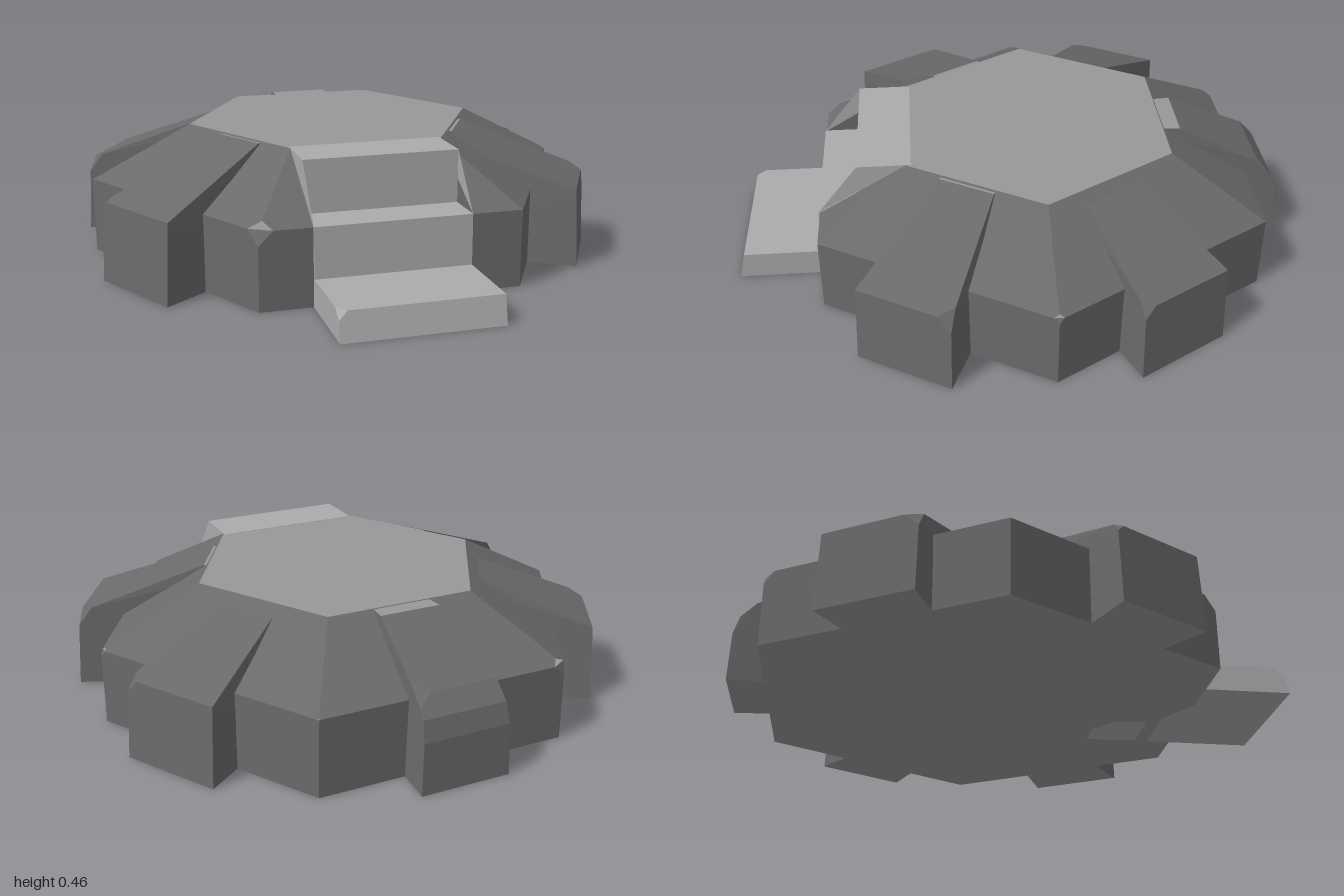
import * as THREE from 'three';
import { ConvexGeometry } from 'three/addons/geometries/ConvexGeometry.js';

const V = (x, y, z) => new THREE.Vector3(x, y, z);
const grey = (color) => new THREE.MeshStandardMaterial({ color, flatShading: true });
const wallStone = grey(0x6a6a6a), floorStone = grey(0x989898), stairStone = grey(0xababab);
const CENTRE_Z = -0.09;
const TOP = 0.455, EAVE = 0.27, STAIR = 0.27;

// Convex stone block; level faces get the floor material
function block(name, points, side = wallStone, level = floorStone) {
  const geometry = new ConvexGeometry(points);
  const normal = geometry.attributes.normal;
  for (let i = 0; i < normal.count; i += 3) {
    geometry.addGroup(i, 3, Math.abs(normal.getY(i)) > 0.99 ? 1 : 0);
  }
  const mesh = new THREE.Mesh(geometry, [side, level]);
  mesh.name = name;
  return mesh;
}

// Knock a corner off: replace it by points a short way toward its neighbours
const chip = (p, neighbours, size) => neighbours.map(
  (n) => p.clone().add(n.clone().sub(p).setLength(size)));

// Hexagon ring with corners on the x axis
function hexRing(radius, y) {
  return Array.from({ length: 6 }, (_, i) => {
    const a = (i * Math.PI) / 3;
    return V(radius * Math.cos(a), y, radius * Math.sin(a));
  });
}

// Hexagonal platform: upright base, flat core and sloping shoulders, open at the stairs
function addPlatform(group) {
  const bottom = hexRing(0.9, 0), eave = hexRing(0.9, EAVE);
  const top = hexRing(0.54, TOP), inner = hexRing(0.54, EAVE);
  const chips = [0.02, 0.005, 0.05, 0.005, 0.04, 0.005];

  const basePoints = [...bottom];
  eave.forEach((p, i) => basePoints.push(
    ...chip(p, [eave[(i + 1) % 6], eave[(i + 5) % 6], bottom[i]], chips[i])));
  group.add(block('base', basePoints));
  group.add(block('core', [...hexRing(0.54, 0.1), ...top]));

  for (let i = 0; i < 6; i++) {
    const j = (i + 1) % 6;
    const ends = [[i, j], [j, i]].map(([a, b]) => [
      top[a], inner[a], ...chip(eave[a], [eave[b], top[a]], chips[a])]);
    if (i !== 1) {
      group.add(block('shoulder', ends.flat()));
      continue;
    }
    // The front shoulder is cut away between the two stair sides
    for (const end of ends) {
      const x = Math.sign(end[0].x) * STAIR;
      group.add(block('frontShoulder', [...end, V(x, EAVE, eave[1].z)]));
    }
  }
}

// Tapered buttress pointing along +z; profile runs [radius, height, half width]
function buttress(profile, chipSide, size) {
  const points = [];
  const at = ([r, y, w], side) => V(side * w, y, r);
  const chipRow = profile.findIndex(([r]) => r > 0.8);
  for (const side of [-1, 1]) {
    profile.forEach((row, i) => {
      const p = at(row, side);
      if (side === chipSide && i === chipRow) {
        points.push(...chip(p, [at(profile[i - 1], side), at(profile[i + 1], side), at(row, -side)], size));
      } else points.push(p);
    });
  }
  return block('buttress', points);
}

// Three steps: [name, tread height, back z, top front z, bottom front z]
function addStairs(group) {
  const steps = [
    ['topStep', TOP + 0.001, 0.36, 0.55, 0.55],
    ['middleStep', EAVE + 0.002, 0.3, 0.695, 0.7],
    ['bottomStep', 0.097, 0.6, 0.978, 1.0],
  ];
  for (const [name, y, back, frontTop, frontBottom] of steps) {
    const points = [];
    for (const x of [-STAIR, STAIR]) {
      points.push(V(x, 0, back), V(x, 0, frontBottom), V(x, y, back));
      const corner = V(x, y, frontTop);
      if (name === 'bottomStep' && x < 0) {
        points.push(...chip(corner, [V(x, y, back), V(x, 0, frontBottom), V(STAIR, y, frontTop)], 0.03));
      } else points.push(corner);
    }
    group.add(block(name, points, stairStone, stairStone));
  }

  // Sloping cheeks beside the middle step
  const cheekStone = grey(0xababab);
  cheekStone.side = THREE.DoubleSide;
  for (const x of [-STAIR, STAIR]) {
    const geometry = new THREE.BufferGeometry().setFromPoints(
      [V(x, EAVE, 0.695), V(x, TOP, 0.38), V(x, TOP, 0.55)]);
    geometry.computeVertexNormals();
    const cheek = new THREE.Mesh(geometry, cheekStone);
    cheek.name = 'stairCheek';
    group.add(cheek);
  }
}

export function createModel() {
  const group = new THREE.Group();
  group.name = 'steppedStonePlatform';

  const platform = new THREE.Group();
  platform.name = 'platform';
  platform.position.z = CENTRE_Z;
  addPlatform(platform);

  // Buttresses in the middle of every side except the stair side
  const side = [[0.3, 0, 0.1], [0.3, TOP - 0.01, 0.09], [0.47, TOP - 0.004, 0.105],
    [0.925, 0.28, 0.175], [0.94, 0, 0.178]];
  const rear = [[0.3, 0, 0.1], [0.4, TOP - 0.002, 0.1], [0.53, TOP - 0.002, 0.11],
    [0.83, 0.31, 0.145], [0.885, 0.25, 0.15], [0.905, 0.18, 0.155], [0.91, 0, 0.16]];
  const list = [
    [60, side, 1, 0.05, 0.03], [120, side, -1, 0.04, 0.035], [180, rear, -1, 0.05, 0],
    [240, side, 1, 0.05, 0.03], [300, side, -1, 0.025, 0.03],
  ];
  for (const [degrees, profile, chipSide, size, shiftZ] of list) {
    const rib = buttress(profile, chipSide, size);
    rib.rotation.y = THREE.MathUtils.degToRad(degrees);
    rib.position.z = shiftZ;
    platform.add(rib);
  }
  group.add(platform);

  const stairs = new THREE.Group();
  stairs.name = 'stairs';
  addStairs(stairs);
  group.add(stairs);
  return group;
}
